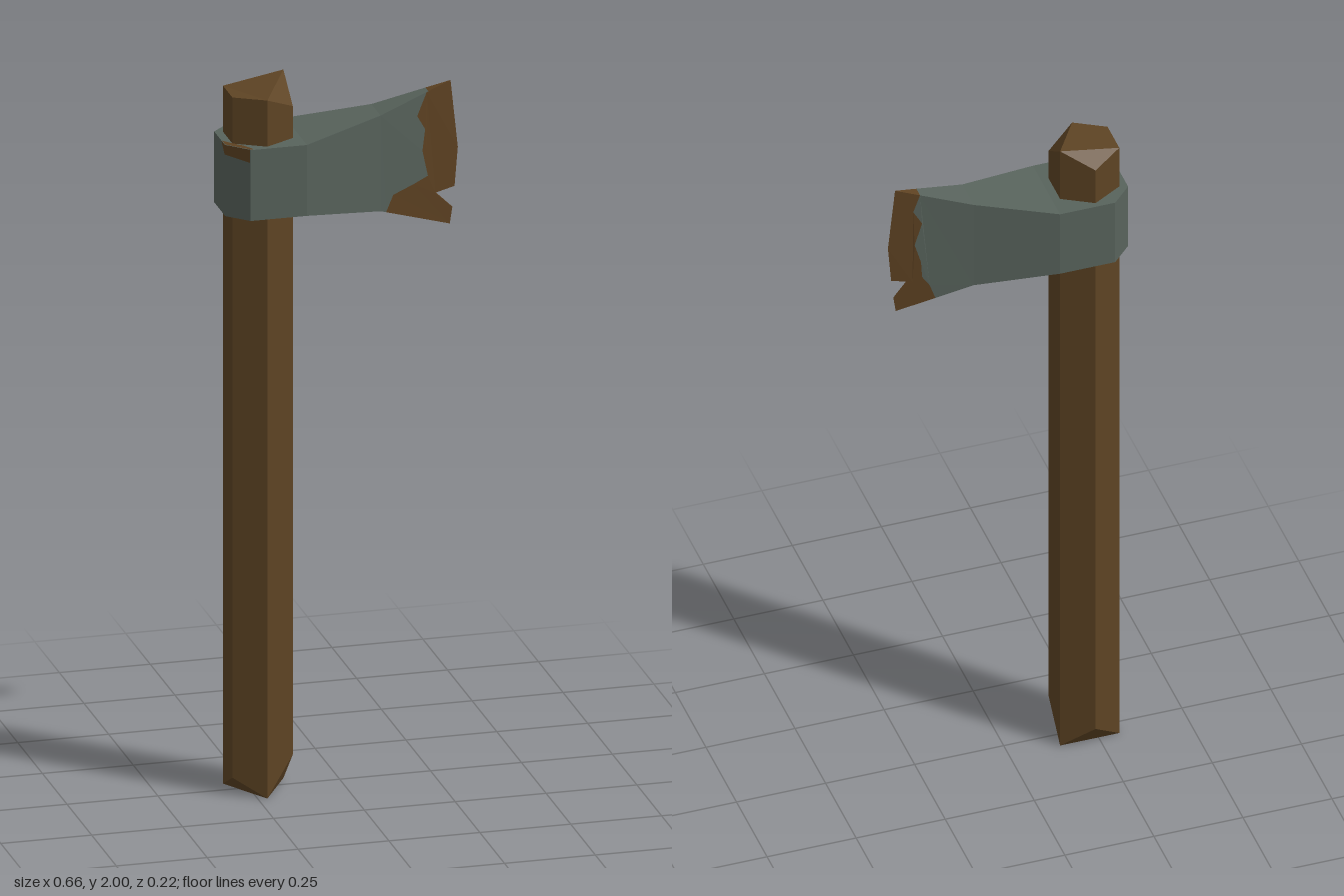
import * as THREE from 'three';

const V = (x, y, z) => new THREE.Vector3(x, y, z);

// Adds a polygon to a triangle list as a fan, wound so that it faces the hint direction
function face(list, pts, hint) {
  for (let i = 1; i < pts.length - 1; i++) {
    const [a, b, c] = [pts[0], pts[i], pts[i + 1]];
    const n = b.clone().sub(a).cross(c.clone().sub(a));
    if (n.dot(hint) >= 0) list.push(a, b, c);
    else list.push(a, c, b);
  }
}

function mesh(name, list, material) {
  const g = new THREE.BufferGeometry().setFromPoints(list);
  g.computeVertexNormals();
  const m = new THREE.Mesh(g, material);
  m.name = name;
  return m;
}

const UP = V(0, 1, 0), DOWN = V(0, -1, 0);

// Hexagonal shaft with uneven, rough-cut ends
function handle(material) {
  const tops = [1.97, 1.93, 2, 1.95, 1.97, 1.97];
  const bottoms = [0, 0.1, 0, 0.07, 0, 0.05];
  const ring = (ys) => ys.map((y, i) => {
    const a = i * Math.PI / 3;
    return V(-0.225 + 0.096 * Math.sin(a), y, 0.096 * Math.cos(a));
  });
  const t = ring(tops), b = ring(bottoms), list = [];
  for (let i = 0; i < 6; i++) {
    const j = (i + 1) % 6, a = (i + 0.5) * Math.PI / 3;
    face(list, [b[i], b[j], t[j], t[i]], V(Math.sin(a), 0, Math.cos(a)));
  }
  for (const [i, j, k] of [[0, 1, 2], [2, 3, 4], [4, 5, 0], [0, 2, 4]]) {
    face(list, [t[i], t[j], t[k]], UP);
    face(list, [b[i], b[j], b[k]], DOWN);
  }
  return mesh('handle', list, material);
}

// Head sections behind the blade: x, half thickness, low y, high y
const SECTIONS = [
  [-0.33, 0.056, 1.64, 1.84],
  [-0.275, 0.111, 1.64, 1.84],
  [-0.12, 0.111, 1.64, 1.84],
  [0.1, 0.047, 1.61, 1.88],
];

function headBody(material) {
  const list = [];
  const ring = ([x, z, lo, hi]) => [V(x, lo, z), V(x, hi, z), V(x, hi, -z), V(x, lo, -z)];
  const hints = [V(0, 0, 1), UP, V(0, 0, -1), DOWN];
  for (let s = 0; s < 3; s++) {
    const a = ring(SECTIONS[s]), b = ring(SECTIONS[s + 1]);
    hints.forEach((h, i) => {
      const j = (i + 1) % 4;
      face(list, [a[i], a[j], b[j], b[i]], h);
    });
  }
  face(list, ring(SECTIONS[0]), V(-1, 0, 0));
  return mesh('headBody', list, material);
}

// Cutting edge from top to bottom, with a chipped notch
const EDGE = [[0.305, 1.945], [0.325, 1.755], [0.316, 1.645], [0.26, 1.635], [0.31, 1.587], [0.303, 1.54]];
const NOTCH = 3;

// Half thickness of the blade, tapering to zero at the unchipped edge
function depth(x, y) {
  const e = EDGE.filter((p, i) => i !== NOTCH);
  let i = 0;
  while (i < e.length - 2 && y < e[i + 1][1]) i++;
  const t = (y - e[i][1]) / (e[i + 1][1] - e[i][1]);
  const xe = e[i][0] + t * (e[i + 1][0] - e[i][0]);
  return 0.047 * Math.max(0, (xe - x) / (xe - 0.1));
}

// Edge of the rust from bottom to top, on each side of the blade
const RUST_FRONT = [[0.116, 1.6045], [0.137, 1.65], [0.196, 1.67], [0.238, 1.687], [0.222, 1.76], [0.23, 1.82], [0.207, 1.86], [0.235, 1.923]];
const RUST_BACK = [[0.2, 1.5755], [0.215, 1.62], [0.235, 1.65], [0.238, 1.7], [0.255, 1.76], [0.235, 1.83], [0.258, 1.87], [0.24, 1.9244]];

function bladeSide(list, outline, side) {
  const pts = outline.map(([x, y]) => new THREE.Vector2(x, y));
  for (const tri of THREE.ShapeUtils.triangulateShape(pts, [])) {
    face(list, tri.map((i) => V(pts[i].x, pts[i].y, side * depth(pts[i].x, pts[i].y))), V(0, 0, side));
  }
}

// Narrow wall joining both sides of the blade
function wall(list, p, q, hint) {
  const [a, b] = [depth(...p), depth(...q)];
  face(list, [V(...p, a), V(...p, -a), V(...q, -b), V(...q, b)], hint);
}

function blade(group, steel, rust) {
  const clean = [], rusty = [];
  for (const [side, line] of [[1, RUST_FRONT], [-1, RUST_BACK]]) {
    bladeSide(clean, [[0.1, 1.61], ...line, [0.1, 1.88]], side);
    bladeSide(rusty, [...line, ...EDGE], side);
  }
  const top = [0.24, 1.9244], low = [0.18, 1.5824];
  wall(clean, [0.1, 1.88], top, UP);
  wall(rusty, top, EDGE[0], UP);
  wall(clean, [0.1, 1.61], low, DOWN);
  wall(rusty, low, EDGE[5], DOWN);
  wall(rusty, EDGE[2], EDGE[3], DOWN);
  wall(rusty, EDGE[3], EDGE[4], UP);
  group.add(mesh('blade', clean, steel), mesh('bladeRust', rusty, rust));
}

// Rust patch wrapped over the rear front corner of the head
function cornerRust(material) {
  const list = [], o = 0.002, y = 1.84 + o;
  const patch = [[-0.33, 0.056], [-0.275, 0.111], [-0.266, 0.111], [-0.284, 0.078], [-0.31, 0.05], [-0.33, 0.025]];
  face(list, patch.map(([x, z]) => V(x, y, z)), UP);
  face(list, [V(-0.33 - o, 1.815, 0.056 + o), V(-0.275 - o, 1.805, 0.111 + o),
    V(-0.275 - o, y, 0.111 + o), V(-0.33 - o, y, 0.056 + o)], V(-1, 0, 1));
  face(list, [V(-0.33 - o, 1.815, 0.056), V(-0.33 - o, y, 0.056), V(-0.33 - o, y, 0.025)], V(-1, 0, 0));
  return mesh('cornerRust', list, material);
}

export function createModel() {
  const wood = new THREE.MeshStandardMaterial({ color: 0x5e4424 });
  wood.name = 'wood';
  const steel = new THREE.MeshStandardMaterial({ color: 0x58635c });
  steel.name = 'steel';
  const rust = new THREE.MeshStandardMaterial({ color: 0x5e4222 });
  rust.name = 'rust';

  const axe = new THREE.Group();
  axe.name = 'axe';
  const head = new THREE.Group();
  head.name = 'head';
  head.add(headBody(steel), cornerRust(rust));
  blade(head, steel, rust);
  axe.add(handle(wood), head);
  return axe;
}
